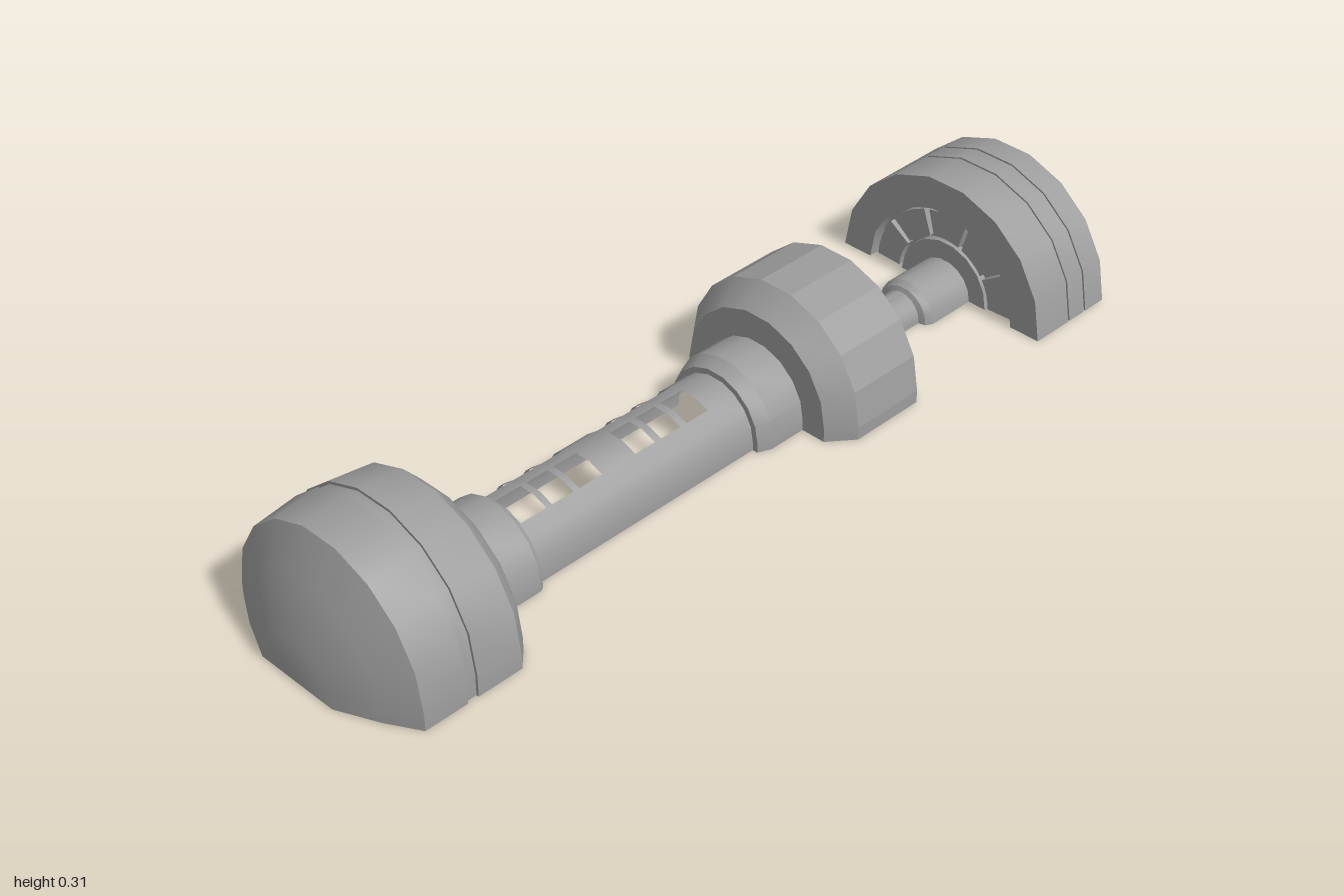
import * as THREE from 'three';
import { toCreasedNormals } from 'three/addons/utils/BufferGeometryUtils.js';

const material = new THREE.MeshStandardMaterial({ color: 0x9c9c9c, side: THREE.DoubleSide });
const FACETS = 9; // 20 degree facets over the half circle

// Half-round section raised by "lift", with straight sides down to the ground.
function section([x, r, lift]) {
  const points = [[x, 0, r]];
  for (let i = 0; i <= FACETS; i++) {
    const a = (i / FACETS) * Math.PI;
    points.push([x, lift + r * Math.sin(a), r * Math.cos(a)]);
  }
  points.push([x, 0, -r]);
  return points;
}

// Skin a row of stations [x, radius, lift]; cells picked by isHole stay open.
function shell(name, stations, { isHole = () => false, crease = Math.PI / 7 } = {}) {
  const rings = stations.map(section);
  const position = [];
  for (let i = 0; i < rings.length - 1; i++) {
    for (let j = 0; j < FACETS + 2; j++) {
      if (isHole(i, j)) continue;
      const a = rings[i][j], b = rings[i + 1][j];
      const c = rings[i + 1][j + 1], d = rings[i][j + 1];
      position.push(...a, ...b, ...d, ...b, ...c, ...d);
    }
  }
  const geometry = new THREE.BufferGeometry();
  geometry.setAttribute('position', new THREE.Float32BufferAttribute(position, 3));
  const mesh = new THREE.Mesh(toCreasedNormals(geometry, crease), material);
  mesh.name = name;
  return mesh;
}

export function createModel() {
  const model = new THREE.Group();
  model.name = 'halfCylinderStation';

  // Large domed end with a narrow seam around it
  model.add(shell('domeEnd', [
    [-1, 0, 0], [-1, 0.1, 0], [-0.96, 0.19, 0.025], [-0.92, 0.26, 0.034],
    [-0.82, 0.26, 0.049], [-0.82, 0.254, 0.049], [-0.795, 0.254, 0.049],
    [-0.795, 0.26, 0.049], [-0.69, 0.26, 0.034], [-0.655, 0.225, 0.03], [-0.62, 0.127, 0.02],
  ]));
  model.add(shell('domeCollar', [
    [-0.62, 0.126, 0.019], [-0.52, 0.126, 0.019], [-0.51, 0.12, 0.018], [-0.51, 0.107, 0.018],
  ]));

  // Tube with two groups of three windows, in two rows
  const windows = [[-0.5, -0.435], [-0.42, -0.365], [-0.35, -0.29],
    [-0.2, -0.147], [-0.13, -0.077], [-0.06, 0]];
  const tubeX = [-0.51, ...windows.flat(), 0.08];
  const openFacets = [4, 5, 7, 8];
  model.add(shell('windowTube', tubeX.map((x) => [x, 0.107, 0.018]),
    { isHole: (i, j) => i % 2 === 1 && openFacets.includes(j) }));

  // Collar and middle drum: faceted band between smooth tapers
  model.add(shell('drumCollar', [
    [0.075, 0.107, 0.018], [0.075, 0.12, 0.018], [0.105, 0.132, 0.022], [0.195, 0.132, 0.022],
  ]));
  model.add(shell('drumShoulder', [
    [0.195, 0.132, 0.022], [0.195, 0.19, 0.028], [0.25, 0.234, 0.029],
  ]));
  model.add(shell('drumBand', [[0.25, 0.234, 0.029], [0.43, 0.234, 0.029]], { crease: 0.1 }));
  model.add(shell('drumTaper', [
    [0.43, 0.234, 0.029], [0.49, 0.14, 0.04], [0.54, 0.05, 0.006],
  ]));
  model.add(shell('shaft', [
    [0.54, 0.05, 0.006], [0.65, 0.05, 0.006], [0.655, 0.066, 0],
    [0.67, 0.074, 0], [0.81, 0.074, 0],
  ]));

  // Wide end disc with a recessed inner face and two seams
  const seam = (x) => [[x, 0.275, 0], [x, 0.271, 0], [x + 0.006, 0.271, 0], [x + 0.006, 0.275, 0]];
  model.add(shell('endDisc', [
    [0.81, 0.074, 0], [0.79, 0.074, 0], [0.79, 0.118, 0], [0.81, 0.118, 0], [0.81, 0.2, 0],
    [0.777, 0.2, 0], [0.777, 0.275, 0], ...seam(0.88), ...seam(0.935),
    [1, 0.275, 0], [1, 0, 0],
  ]));

  // Wedge panels filling the recess, with narrow gaps between them
  const panels = new THREE.Group();
  panels.name = 'discPanels';
  const count = 5, gap = 0.04;
  for (let i = 0; i < count; i++) {
    const start = (i / count) * Math.PI + gap, end = ((i + 1) / count) * Math.PI - gap;
    const wedge = new THREE.Shape();
    wedge.absarc(0, 0, 0.188, start, end, false);
    wedge.absarc(0, 0, 0.126, end, start, true);
    const geometry = new THREE.ExtrudeGeometry(wedge,
      { depth: 0.018, bevelEnabled: false, curveSegments: 2 });
    geometry.rotateY(Math.PI / 2);
    const panel = new THREE.Mesh(geometry, material);
    panel.name = 'discPanel';
    panel.position.x = 0.79;
    panels.add(panel);
  }
  model.add(panels);
  return model;
}
